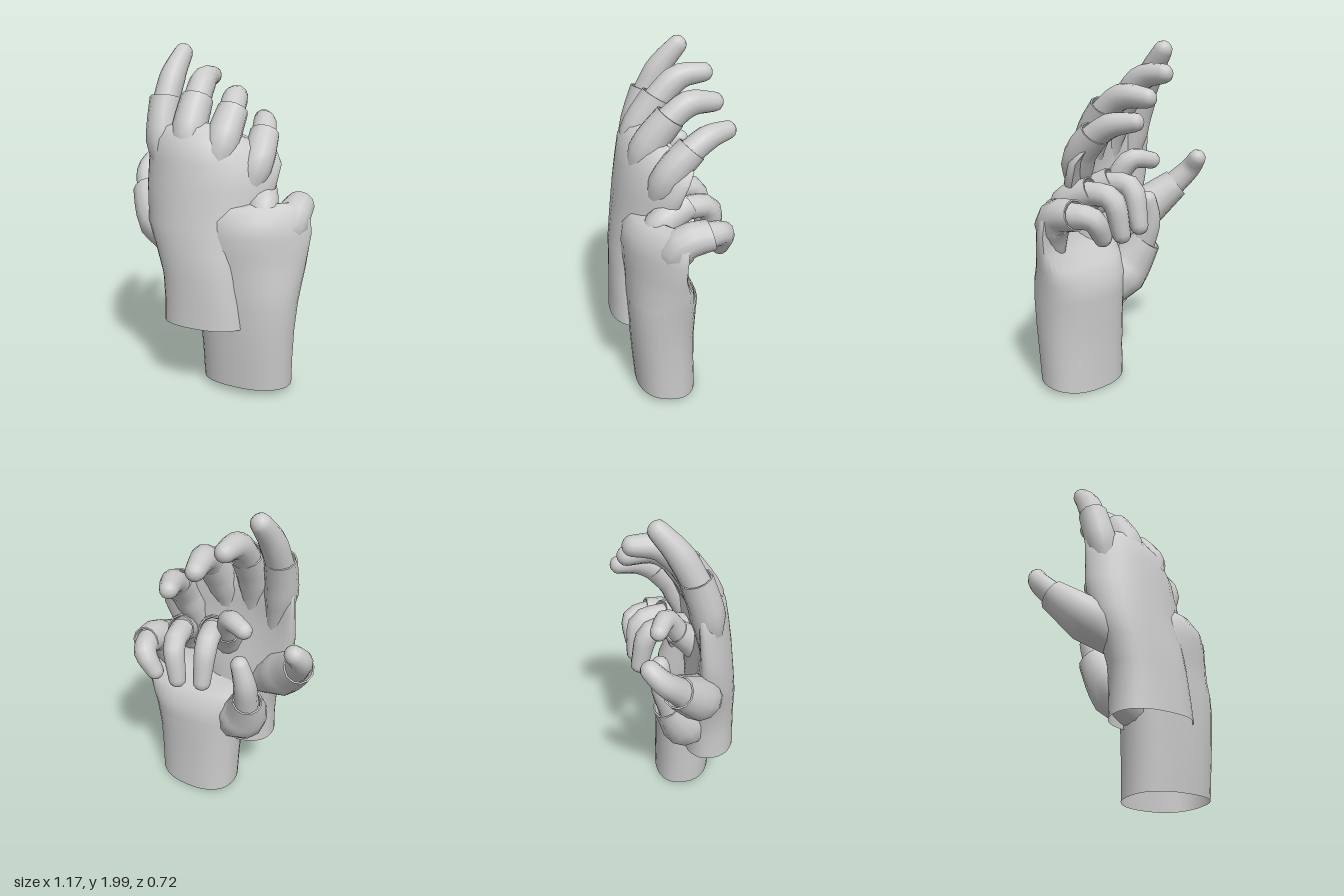
import * as THREE from 'three';
import { toCreasedNormals } from 'three/addons/utils/BufferGeometryUtils.js';

const material = new THREE.MeshStandardMaterial({ color: 0xcccccc, side: THREE.DoubleSide });

// Skins a list of closed rings (arrays of Vector3) into one surface
function loft(rings) {
  const n = rings[0].length, index = [];
  for (let i = 0; i < rings.length - 1; i++)
    for (let j = 0; j < n; j++) {
      const a = i * n + j, b = i * n + (j + 1) % n;
      index.push(a, a + n, b, b, a + n, b + n);
    }
  const geometry = new THREE.BufferGeometry().setFromPoints(rings.flat());
  geometry.setIndex(index);
  return toCreasedNormals(geometry, 0.9);
}

function addMesh(parent, name, geometry) {
  const mesh = new THREE.Mesh(geometry, material);
  mesh.name = name;
  parent.add(mesh);
}

// Linear interpolation through a list of values
function sample(values, t) {
  const f = t * (values.length - 1), i = Math.min(Math.floor(f), values.length - 2);
  return THREE.MathUtils.lerp(values[i], values[i + 1], f - i);
}

// Tapered bent tube through [x, y, z, radius]; ends in a round tip or a folded hem
function limb(points, tip, sides = 12, steps = 8) {
  const curve = new THREE.CatmullRomCurve3(points.map(p => new THREE.Vector3(p[0], p[1], p[2])));
  const radii = points.map(p => p[3]);
  const frames = curve.computeFrenetFrames(steps);
  const rings = [];
  const ring = (i, r, push) => {
    const c = curve.getPointAt(i / steps).addScaledVector(frames.tangents[i], push);
    rings.push(Array.from({ length: sides }, (_, j) => {
      const a = j / sides * Math.PI * 2;
      return c.clone()
        .addScaledVector(frames.normals[i], Math.cos(a) * r)
        .addScaledVector(frames.binormals[i], -Math.sin(a) * r);
    }));
  };
  for (let i = 0; i <= steps; i++) ring(i, sample(radii, i / steps), 0);
  const r = radii.at(-1);
  if (tip) {
    for (const a of [0.5, 1.0, 1.3, 1.569]) ring(steps, r * Math.cos(a), r * Math.sin(a) * 0.9);
  } else {
    ring(steps, r * 0.9, 0);
    ring(steps, r * 0.88, -0.05);
  }
  return loft(rings);
}

// Wrist and palm from rows [y, cx, cz, rx, rz, cup, tilt, skew, hem]
function palm(rows, sides = 32) {
  const full = v => Math.sign(v) * Math.abs(v) ** 0.86;
  return loft(rows.map(([y, cx, cz, rx, rz, cup = 0, tilt = 0, skew = 0, hem = 0]) =>
    Array.from({ length: sides }, (_, j) => {
      const a = j / sides * Math.PI * 2, u = full(Math.cos(a)), w = full(Math.sin(a));
      return new THREE.Vector3(
        cx + rx * u,
        y - skew * Math.max(0, u) ** 2 + hem * w,
        cz + rz * w - cup * u * u - tilt * u);
    })));
}

// digits: name -> [glove sleeve points, bare finger points after the hem]
function buildHand(name, rows, digits) {
  const hand = new THREE.Group();
  hand.name = name;
  addMesh(hand, 'glovePalm', palm(rows));
  for (const [digit, [sleeve, finger]] of Object.entries(digits)) {
    const [x, y, z, r] = sleeve.at(-1);
    addMesh(hand, digit + 'Sleeve', limb(sleeve, false));
    // the finger starts inside the sleeve, a little below its hem
    const p = sleeve.at(-2);
    const start = [x + (p[0] - x) * 0.25, y + (p[1] - y) * 0.25, z + (p[2] - z) * 0.25, r * 0.86];
    addMesh(hand, digit, limb([start, ...finger], true));
  }
  return hand;
}

export function createModel() {
  const model = new THREE.Group();
  model.name = 'glovedHands';

  // Front hand, fingers raised and bent backwards
  model.add(buildHand('frontHand', [
    [0.41, 0.03, 0.2, 0.252, 0.16, 0, 0, -0.01, 0.015],
    [0.55, 0.025, 0.2, 0.245, 0.155],
    [0.7, 0.01, 0.2, 0.24, 0.15],
    [0.85, -0.015, 0.2, 0.265, 0.145, 0.02, 0.01],
    [1.0, -0.035, 0.2, 0.31, 0.125, 0.06, 0.03],
    [1.2, 0, 0.2, 0.37, 0.1, 0.13, 0.07],
    [1.35, 0.008, 0.185, 0.375, 0.09, 0.15, 0.09, 0.02],
    [1.47, -0.01, 0.165, 0.355, 0.085, 0.15, 0.1, 0.08],
    [1.54, -0.02, 0.145, 0.3, 0.055, 0.12, 0.09, 0.12],
    [1.565, -0.03, 0.135, 0.2, 0.004, 0.06, 0.06, 0.08],
  ], {
    indexFinger: [
      [[-0.23, 1.2, 0.165, 0.05], [-0.275, 1.48, 0.14, 0.096], [-0.29, 1.69, 0.075, 0.09]],
      [[-0.278, 1.82, -0.005, 0.076], [-0.265, 1.945, -0.11, 0.056]]],
    middleFinger: [
      [[-0.08, 1.25, 0.19, 0.06], [-0.1, 1.5, 0.15, 0.102], [-0.105, 1.69, 0.035, 0.094]],
      [[-0.12, 1.79, -0.09, 0.078], [-0.135, 1.81, -0.24, 0.055]]],
    ringFinger: [
      [[0.06, 1.22, 0.18, 0.06], [0.09, 1.46, 0.115, 0.103], [0.1, 1.63, -0.01, 0.089]],
      [[0.07, 1.685, -0.11, 0.075], [0.025, 1.68, -0.27, 0.055]]],
    littleFinger: [
      [[0.2, 1.1, 0.11, 0.05], [0.27, 1.36, 0.02, 0.096], [0.26, 1.495, -0.1, 0.086]],
      [[0.225, 1.54, -0.19, 0.07], [0.165, 1.56, -0.315, 0.052]]],
    thumb: [
      [[-0.12, 0.82, 0.18, 0.09], [-0.34, 0.98, 0.09, 0.135], [-0.485, 1.13, -0.03, 0.092]],
      [[-0.53, 1.23, -0.11, 0.068], [-0.515, 1.3, -0.175, 0.054]]],
  }));

  // Rear hand, lower and to the side, fingers curled over a hollow palm
  model.add(buildHand('rearHand', [
    [0.03, 0.235, 0.05, 0.265, 0.18, 0, 0, -0.01, 0.02],
    [0.2, 0.235, 0.06, 0.27, 0.183],
    [0.38, 0.235, 0.068, 0.28, 0.188],
    [0.55, 0.235, 0.07, 0.295, 0.195, 0, 0.01],
    [0.66, 0.238, 0.075, 0.305, 0.195, 0.02, 0.02],
    [0.75, 0.243, 0.105, 0.312, 0.165, 0.06, 0.04],
    [0.84, 0.25, 0.16, 0.32, 0.115, 0.1, 0.06],
    [0.95, 0.258, 0.19, 0.325, 0.088, 0.13, 0.075],
    [1.04, 0.265, 0.185, 0.31, 0.08, 0.13, 0.08],
    [1.11, 0.265, 0.16, 0.265, 0.055, 0.1, 0.08],
    [1.13, 0.26, 0.145, 0.2, 0.004, 0.06, 0.06],
  ], {
    littleFinger: [
      [[0.42, 0.8, 0.06, 0.05], [0.475, 1.04, -0.01, 0.103], [0.46, 1.08, -0.17, 0.087]],
      [[0.41, 1.06, -0.245, 0.067], [0.34, 0.95, -0.25, 0.052]]],
    ringFinger: [
      [[0.33, 0.92, 0.17, 0.06], [0.32, 1.1, 0.07, 0.095], [0.265, 1.18, -0.08, 0.08]],
      [[0.23, 1.14, -0.2, 0.066], [0.19, 0.94, -0.24, 0.052]]],
    middleFinger: [
      [[0.18, 0.92, 0.19, 0.06], [0.14, 1.12, 0.09, 0.095], [0.07, 1.21, -0.04, 0.08]],
      [[0.04, 1.18, -0.15, 0.066], [0.033, 0.96, -0.22, 0.052]]],
    indexFinger: [
      [[0.1, 0.92, 0.19, 0.06], [0.04, 1.1, 0.1, 0.09], [-0.01, 1.21, 0.0, 0.075]],
      [[-0.06, 1.32, -0.06, 0.063], [-0.18, 1.31, -0.11, 0.05]]],
    thumb: [
      [[0.1, 0.45, 0.1, 0.1], [-0.1, 0.62, 0.04, 0.155], [-0.185, 0.82, -0.07, 0.09]],
      [[-0.18, 0.95, -0.095, 0.07], [-0.15, 1.08, -0.105, 0.053]]],
  }));

  return model;
}
